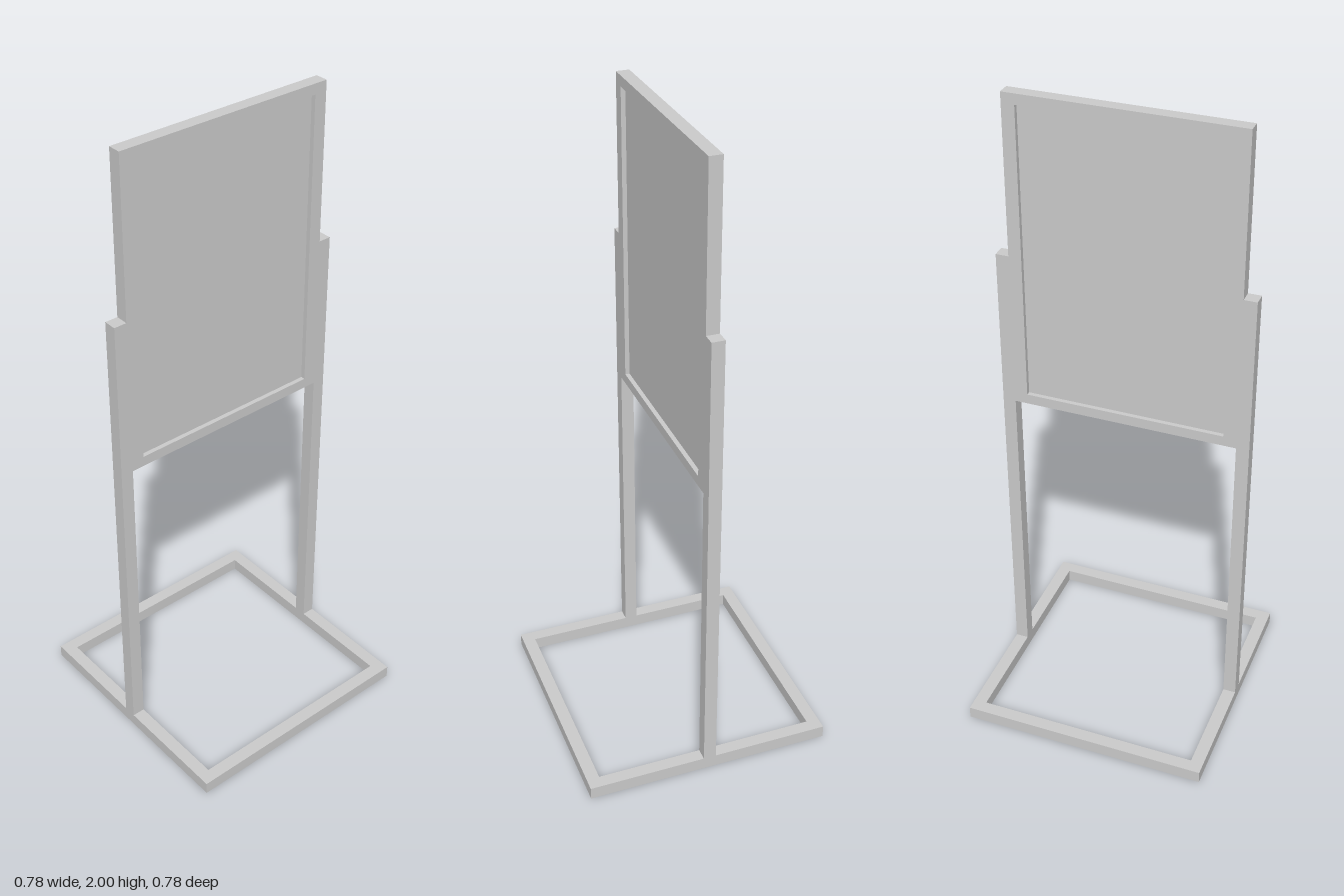
import * as THREE from 'three';

const material = new THREE.MeshStandardMaterial({ color: 0xcccccc, flatShading: true });
const TUBE = 0.04; // square tube size
const BASE = 0.39; // half width of the base
const SIGN = 0.35; // half width of the sign frame

function add(group, name, geometry, x, y, z) {
  const mesh = new THREE.Mesh(geometry, material);
  mesh.name = name;
  mesh.position.set(x, y, z);
  group.add(mesh);
  return mesh;
}

// Rectangular frame standing in the xy plane, centred on its depth
function frameGeometry(halfW, halfH, holeW, holeH, depth) {
  const shape = new THREE.Shape([
    new THREE.Vector2(-halfW, -halfH), new THREE.Vector2(halfW, -halfH),
    new THREE.Vector2(halfW, halfH), new THREE.Vector2(-halfW, halfH),
  ]);
  shape.holes.push(new THREE.Path([
    new THREE.Vector2(-holeW, -holeH), new THREE.Vector2(-holeW, holeH),
    new THREE.Vector2(holeW, holeH), new THREE.Vector2(holeW, -holeH),
  ]));
  return new THREE.ExtrudeGeometry(shape, { depth, bevelEnabled: false })
    .translate(0, 0, -depth / 2);
}

export function createModel() {
  const model = new THREE.Group();
  model.name = 'signStand';

  // Square base lying on the floor
  const inner = BASE - TUBE;
  const base = frameGeometry(BASE, BASE, inner, inner, TUBE).rotateX(-Math.PI / 2);
  add(model, 'baseFrame', base, 0, TUBE / 2, 0);

  // Upright posts beside the sign
  const postTop = 1.505;
  for (const [name, side] of [['leftPost', 1], ['rightPost', -1]]) {
    const post = new THREE.BoxGeometry(TUBE, postTop - TUBE, TUBE);
    add(model, name, post, side * (BASE - TUBE / 2), (postTop + TUBE) / 2, 0);
  }

  // Sign frame with a thin panel recessed on both sides
  const bottom = 1.01, top = 2, middle = (bottom + top) / 2;
  const halfH = (top - bottom) / 2;
  const holeW = 0.31, holeH = halfH - 0.032;
  add(model, 'signFrame', frameGeometry(SIGN, halfH, holeW, holeH, TUBE), 0, middle, 0);
  add(model, 'signPanel', new THREE.BoxGeometry(holeW * 2, holeH * 2, 0.012), 0, middle, 0);

  return model;
}
